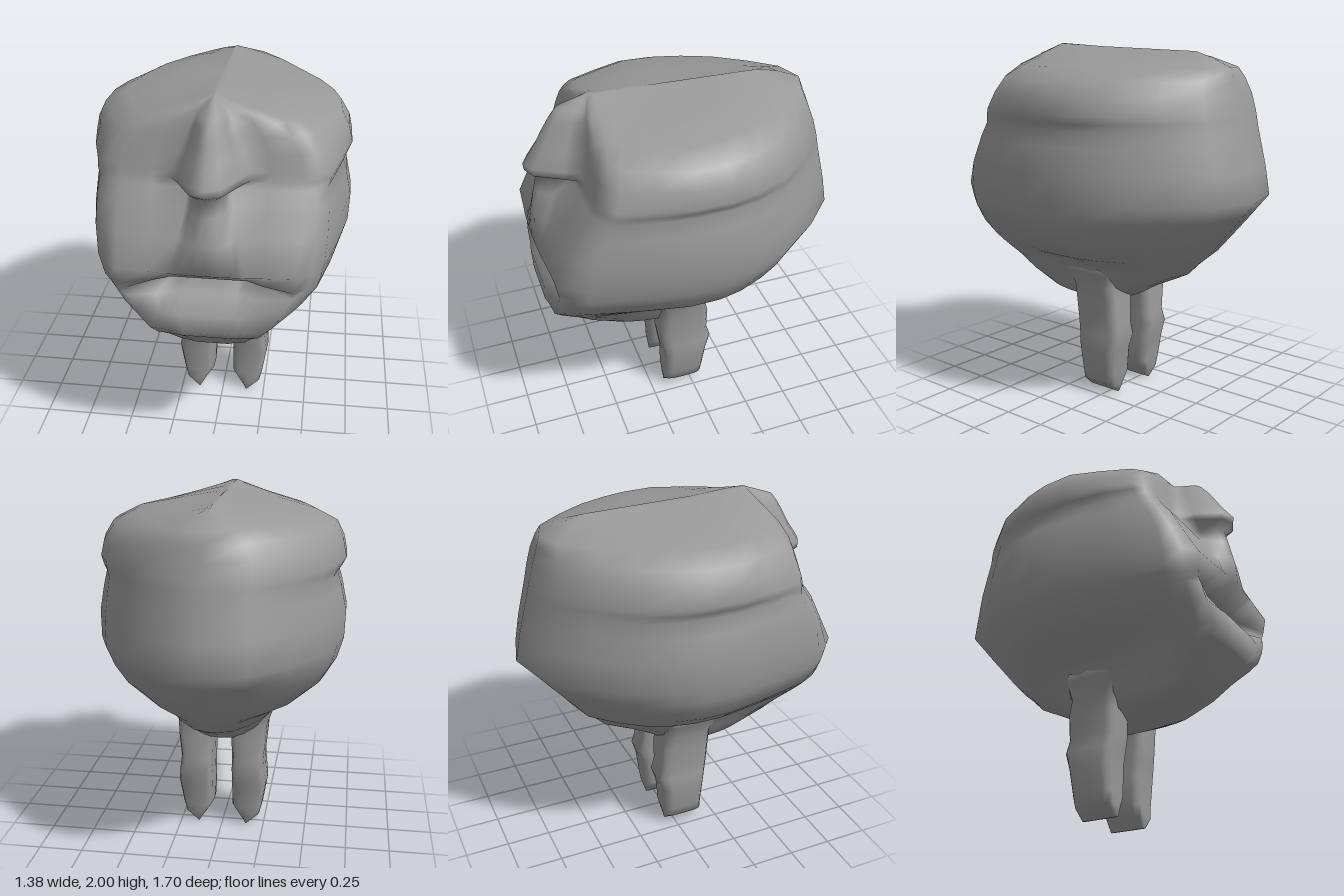
import * as THREE from 'three';

const material = new THREE.MeshStandardMaterial({ color: 0x999999, side: THREE.DoubleSide });

// Skin a stack of closed rings (bottom to top, each running back, left, front, right)
function loft(name, rings) {
  const n = rings[0].length, pos = rings.flat(2), index = [];
  for (let i = 0; i < rings.length - 1; i++) {
    for (let j = 0; j < n; j++) {
      const a = i * n + j, b = i * n + (j + 1) % n;
      index.push(a, a + n, b, b, a + n, b + n);
    }
  }
  // End caps
  [rings[0], rings.at(-1)].forEach((ring, end) => {
    const centre = pos.length / 3, start = end * (rings.length - 1) * n;
    for (let k = 0; k < 3; k++) pos.push(ring.reduce((s, p) => s + p[k], 0) / n);
    for (let j = 0; j < n; j++) {
      const a = start + j, b = start + (j + 1) % n;
      index.push(centre, ...(end ? [b, a] : [a, b]));
    }
  });
  const geometry = new THREE.BufferGeometry();
  geometry.setAttribute('position', new THREE.Float32BufferAttribute(pos, 3));
  geometry.setIndex(index);
  geometry.computeVertexNormals();
  const mesh = new THREE.Mesh(geometry, material);
  mesh.name = name;
  return mesh;
}

// Read column k of a table of rows sorted by height, blending between rows
function sample(table, y, k) {
  const i = table.findIndex((row) => row[0] >= y);
  if (i === 0) return table[0][k];
  if (i < 0) return table.at(-1)[k];
  const [p, q] = [table[i - 1], table[i]];
  return THREE.MathUtils.mapLinear(y, p[0], q[0], p[k], q[k]);
}

// Head: height, half width, back z, cheek corner x and z, face z
const headLevels = [
  [0.50, 0.03, 0.14, 0.03, 0.22, 0.30],
  [0.57, 0.20, -0.08, 0.19, 0.29, 0.45],
  [0.65, 0.24, -0.22, 0.22, 0.42, 0.61],
  [0.75, 0.30, -0.43, 0.28, 0.55, 0.71],
  [0.82, 0.36, -0.50, 0.33, 0.62, 0.80],
  [0.87, 0.47, -0.56, 0.37, 0.65, 0.84],
  [0.97, 0.585, -0.64, 0.47, 0.66, 0.84],
  [1.05, 0.63, -0.71, 0.52, 0.67, 0.83],
  [1.085, 0.65, -0.74, 0.54, 0.68, 0.82],
  [1.12, 0.66, -0.77, 0.55, 0.68, 0.83],
  [1.21, 0.685, -0.85, 0.57, 0.68, 0.845],
  [1.36, 0.69, -0.82, 0.58, 0.65, 0.76],
  [1.50, 0.66, -0.785, 0.58, 0.58, 0.69],
  [1.58, 0.635, -0.765, 0.57, 0.54, 0.63],
  [1.62, 0.66, -0.755, 0.58, 0.53, 0.61],
  [1.66, 0.68, -0.745, 0.58, 0.52, 0.60],
  [1.75, 0.66, -0.72, 0.55, 0.49, 0.58],
  [1.83, 0.62, -0.695, 0.49, 0.47, 0.565],
  [1.89, 0.50, -0.68, 0.39, 0.43, 0.55],
  [1.94, 0.24, -0.56, 0.21, 0.42, 0.53],
  [1.97, 0.02, -0.46, 0.02, 0.44, 0.49],
];
// Outline around the back (share of width, share of depth) and across the face
const backCurve = [[0, 1], [0.35, 0.935], [0.62, 0.75], [0.84, 0.54], [0.95, 0.34], [1, 0.16]];
const faceCurve = [[1, 0, 0], [0.9, 0.5, 0], [0.78, 0.88, 0], [0.5, 0.95, 0.55]];
// Nose and lip groove (height, half width, projection) and its cross-section
const noseLevels = [
  [1.20, 0.15, 0], [1.36, 0.11, 0.08], [1.50, 0.09, 0.12], [1.58, 0.08, 0.16],
  [1.62, 0.15, 0.235], [1.66, 0.15, 0.25], [1.75, 0.12, 0.205], [1.88, 0.08, 0.155],
  [1.94, 0.07, 0.13], [1.97, 0.03, 0],
];
const noseCurve = [[1.3, 0], [1, 0.3], [0.5, 0.85], [0, 1]];
// Mouth: height and depth of the recess
const mouthLevels = [[0.97, 0], [1.05, 0.08], [1.085, 0.2], [1.12, 0.11], [1.2, 0]];

function headRing([y, w, back, cx, cz, front]) {
  const mid = Math.min(0.15, cz);
  const dent = sample(mouthLevels, y, 1);
  const noseWidth = Math.min(sample(noseLevels, y, 1), 0.3 * cx);
  const nose = sample(noseLevels, y, 2);
  // The groove at the temples fades out toward the back, and the crown narrows there
  const fill = 0.04 * Math.max(0, 1 - Math.abs(y - 1.56) / 0.1);
  const taper = 0.18 * THREE.MathUtils.smoothstep(y, 1.75, 1.92);
  const half = [
    ...backCurve.map(([u, v]) => [
      u * (w + fill * Math.min(1, 2 * v - 0.3)) * (1 - taper * v), y, 0.1 + v * (back - 0.1),
    ]),
    [w, y, mid],
    [0.47 * w + 0.55 * cx, y, (mid + cz) / 2],
    ...faceCurve.map(([u, v, d]) => [u * cx, y, cz + v * (front - cz) - d * dent]),
    ...noseCurve.map(([u, v]) => [u * noseWidth, y, front + v * nose - dent]),
  ];
  // Crown rises slightly toward the front
  if (y > 1.95) half.forEach((p) => { p[1] += 0.06 * Math.max(0, p[2]); });
  return [...half, ...half.slice(1, -1).reverse().map(([x, h, z]) => [-x, h, z])];
}

// Leg: height, inner x, outer x, back z, front z; flares out into the head
const legLevels = [
  [0.00, 0.138, 0.150, -0.05, 0.165],
  [0.06, 0.095, 0.225, -0.065, 0.17],
  [0.12, 0.057, 0.240, -0.075, 0.17],
  [0.27, 0.055, 0.265, -0.09, 0.175],
  [0.36, 0.055, 0.255, -0.12, 0.19],
  [0.43, 0.055, 0.248, -0.10, 0.20],
  [0.57, 0.050, 0.262, -0.10, 0.205],
  [0.65, 0.030, 0.268, -0.08, 0.21],
  [0.74, 0.020, 0.300, -0.10, 0.26],
  [0.83, 0.010, 0.350, -0.14, 0.32],
];
const soften = (v) => Math.sign(v) * Math.abs(v) ** 0.5;

function legRing([y, inner, outer, back, front], side) {
  return Array.from({ length: 16 }, (_, i) => {
    const a = (i / 16) * Math.PI * 2;
    return [
      side * (inner + outer) / 2 + soften(Math.sin(a)) * (outer - inner) / 2,
      y,
      (back + front) / 2 - soften(Math.cos(a)) * (front - back) / 2,
    ];
  });
}

export function createModel() {
  const model = new THREE.Group();
  model.name = 'walkingHead';
  model.add(loft('head', headLevels.map(headRing)));
  for (const side of [1, -1]) {
    model.add(loft(side > 0 ? 'leftLeg' : 'rightLeg', legLevels.map((level) => legRing(level, side))));
  }
  return model;
}
